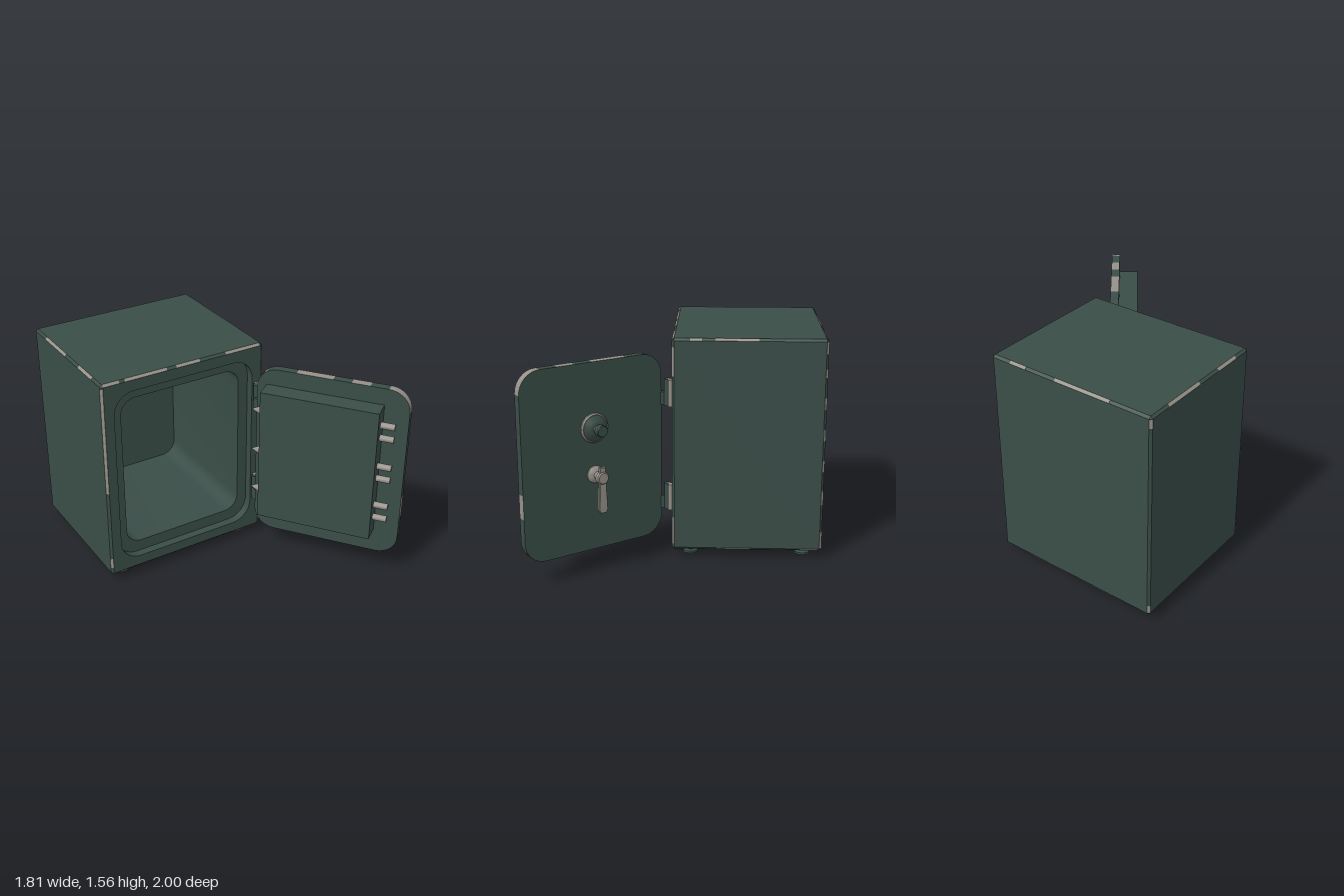
import * as THREE from 'three';
import { toCreasedNormals } from 'three/addons/utils/BufferGeometryUtils.js';

const mat = (name, color) => {
  const m = new THREE.MeshStandardMaterial({ color });
  m.name = name;
  return m;
};

// Rounded rectangle, counter-clockwise from the upper right corner; straight sides get `sub` pieces
function roundedRect(x0, x1, y0, y1, r, sub = 1) {
  const centres = [[x1 - r, y1 - r], [x0 + r, y1 - r], [x0 + r, y0 + r], [x1 - r, y0 + r]];
  const arcs = centres.map(([cx, cy], q) => Array.from({ length: 9 }, (_, i) => {
    const a = (q + i / 8) * Math.PI / 2;
    return new THREE.Vector2(cx + r * Math.cos(a), cy + r * Math.sin(a));
  }));
  return arcs.flatMap((arc, q) => {
    const next = arcs[(q + 1) % 4][0];
    const side = [];
    for (let i = 1; i < sub; i++) side.push(arc[8].clone().lerp(next, i / sub));
    return [...arc, ...side];
  });
}

// Wall between two outlines; faces outward when zB > zA and inward otherwise
function wall(a, zA, b, zB, materialAt) {
  const n = a.length, pos = [], index = [];
  a.forEach((p) => pos.push(p.x, p.y, zA));
  b.forEach((p) => pos.push(p.x, p.y, zB));
  const g = new THREE.BufferGeometry();
  for (let i = 0; i < n; i++) {
    const j = (i + 1) % n;
    index.push(i, j, n + j, i, n + j, n + i);
    if (materialAt) g.addGroup(i * 6, 6, materialAt(i));
  }
  g.setAttribute('position', new THREE.Float32BufferAttribute(pos, 3));
  g.setIndex(index);
  return toCreasedNormals(g, 0.6);
}

// Flat face at z, optionally with a hole, facing +z or (back) -z
function face(outline, z, hole, back) {
  const s = new THREE.Shape(outline);
  if (hole) s.holes.push(new THREE.Path(hole));
  const g = new THREE.ShapeGeometry(s);
  if (back) {
    const ix = g.index.array;
    for (let i = 0; i < ix.length; i += 3) [ix[i], ix[i + 1]] = [ix[i + 1], ix[i]];
    g.computeVertexNormals();
  }
  return g.translate(0, 0, z);
}

export function createModel() {
  const root = new THREE.Group();
  const green = mat('dark green paint', 0x3a4d47);
  const steel = mat('worn steel', 0x969189);

  const add = (parent, name, geo, material, x = 0, y = 0, z = 0) => {
    const m = new THREE.Mesh(geo, material);
    m.name = name;
    m.position.set(x, y, z);
    parent.add(m);
    return m;
  };

  // Body with chamfered edges
  const X0 = -0.905, X1 = 0.33, Y0 = 0.06, Y1 = 1.56, Z0 = -1, Z1 = 0.04, c = 0.016;
  const V = (x, y) => new THREE.Vector2(x, y);
  const side = [V(X1, Y0 + c), V(X1, Y1 - c), V(X1 - c, Y1), V(X0 + c, Y1),
    V(X0, Y1 - c), V(X0, Y0 + c), V(X0 + c, Y0), V(X1 - c, Y0)];
  const inset = side.map((p) => V(
    THREE.MathUtils.clamp(p.x, X0 + c, X1 - c), THREE.MathUtils.clamp(p.y, Y0 + c, Y1 - c)));
  const rect = [V(X0 + c, Y0 + c), V(X1 - c, Y0 + c), V(X1 - c, Y1 - c), V(X0 + c, Y1 - c)];
  const recess = roundedRect(-0.82, 0.245, 0.15, 1.465, 0.15);
  const cavity = roundedRect(-0.745, 0.17, 0.235, 1.38, 0.11);
  const ledgeZ = -0.02, insideZ = -0.965;
  const body = new THREE.Group();
  body.name = 'body';
  root.add(body);
  add(body, 'backChamfer', wall(inset, Z0, side, Z0 + c), green);
  add(body, 'sidePanels', wall(side, Z0 + c, side, Z1 - c), green);
  add(body, 'frontChamfer', wall(side, Z1 - c, inset, Z1), green);
  add(body, 'backPanel', face(rect, Z0, null, true), green);
  add(body, 'frontFrame', face(rect, Z1, recess), green);
  add(body, 'recessWall', wall(recess, Z1, recess, ledgeZ), green);
  add(body, 'recessLedge', face(recess, ledgeZ, cavity), green);
  add(body, 'cavityWall', wall(cavity, ledgeZ, cavity, insideZ), green);
  add(body, 'cavityBack', face(cavity, insideZ), green);

  // Paint worn off the edges: signs pick the edge, each pair is a start and end along it
  const w = c * 1.42, t = 0.003, px = (s) => (s > 0 ? X1 - c / 2 : X0 + c / 2);
  const py = (s) => (s > 0 ? Y1 - c / 2 : Y0 + c / 2), pz = (s) => (s > 0 ? Z1 - c / 2 : Z0 + c / 2);
  const wearX = (sy, sz, spans) => spans.forEach(([a, b]) => {
    add(body, 'wornEdge', new THREE.BoxGeometry(b - a, t, w), steel, (a + b) / 2, py(sy), pz(sz))
      .rotation.x = Math.atan2(sz, sy);
  });
  const wearY = (sx, sz, spans) => spans.forEach(([a, b]) => {
    add(body, 'wornEdge', new THREE.BoxGeometry(t, b - a, w), steel, px(sx), (a + b) / 2, pz(sz))
      .rotation.y = Math.atan2(-sz, sx);
  });
  const wearZ = (sx, sy, spans) => spans.forEach(([a, b]) => {
    add(body, 'wornEdge', new THREE.BoxGeometry(t, w, b - a), steel, px(sx), py(sy), (a + b) / 2)
      .rotation.z = Math.atan2(sy, sx);
  });
  wearX(1, 1, [[-0.89, -0.77], [-0.73, -0.42], [-0.35, -0.17], [0.03, 0.3]]);
  wearX(1, -1, [[-0.6, -0.18], [0.05, 0.18]]);
  wearX(-1, 1, [[-0.89, -0.82], [0.1, 0.3]]);
  wearX(-1, -1, [[-0.6, -0.45], [-0.2, 0.1]]);
  wearY(-1, 1, [[0.74, 1.53], [0.12, 0.2]]);
  wearY(1, 1, [[0.1, 0.3], [1.3, 1.5]]);
  wearY(1, -1, [[0.08, 0.2], [0.4, 0.5], [0.64, 0.72], [0.86, 0.94], [1.08, 1.16], [1.3, 1.36], [1.46, 1.54]]);
  wearY(-1, -1, [[0.08, 0.14], [1.48, 1.54]]);
  wearZ(1, 1, [[-0.54, -0.25], [-0.16, -0.08]]);
  wearZ(-1, 1, [[-0.82, -0.5], [-0.3, -0.1]]);
  wearZ(1, -1, [[-0.97, -0.85], [-0.5, -0.27]]);

  // Feet
  const footProfile = [[0, 0], [0.055, 0], [0.055, 0.015], [0.036, 0.024], [0.032, 0.065]].map((p) => V(...p));
  const footGeo = toCreasedNormals(new THREE.LatheGeometry(footProfile, 20), 0.5);
  for (const x of [-0.77, 0.2]) for (const z of [-0.085, -0.875]) add(root, 'foot', footGeo, green, x, 0, z);

  // Hinges: barrel, body leaf and door leaf
  for (const y of [1.18, 0.437]) {
    add(root, 'hingeBarrel', new THREE.CylinderGeometry(0.024, 0.024, 0.185, 16), green, 0.265, y, 0.072);
    add(root, 'hingeBodyLeaf', new THREE.BoxGeometry(0.05, 0.185, 0.03), steel, 0.288, y, 0.052);
    add(root, 'hingeDoorLeaf', new THREE.BoxGeometry(0.03, 0.09, 0.06), green, 0.252, y - 0.045, 0.102);
  }

  // Open door: local x runs from the hinge to the free edge, local z towards the inside
  const door = new THREE.Group();
  door.name = 'door';
  door.position.set(0.215, 0, 0.15);
  door.rotation.y = -Math.atan2(0.8, 0.6);
  root.add(door);
  const outline = roundedRect(0, 1.06, 0.165, 1.455, 0.15, 6);
  const worn = new Set([0, 1, 2, 3, 4, 5, 6, 7, 9, 11, 12, 17, 25, 30, 37, 45, 51]);
  add(door, 'doorRim', wall(outline, -0.06, outline, 0, (i) => (worn.has(i) ? 1 : 0)), [green, steel]);
  add(door, 'doorOuterFace', face(outline, -0.06, null, true), green);
  add(door, 'doorInnerFace', face(outline, 0), green);
  add(door, 'lockCase', new THREE.BoxGeometry(0.82, 0.99, 0.135), green, 0.478, 0.84, 0.0675);

  // Locking bolts on the free side, pointed pins on the hinge side
  const boltGeo = new THREE.CylinderGeometry(0.023, 0.023, 0.11, 12).rotateZ(-Math.PI / 2);
  for (const y of [1.215, 1.12, 0.9, 0.805, 0.59, 0.49]) add(door, 'bolt', boltGeo, steel, 0.93, y, 0.06);
  const pinGeo = new THREE.ConeGeometry(0.035, 0.08, 16).rotateZ(Math.PI / 2);
  for (const y of [1.167, 0.852, 0.54]) add(door, 'hingeSidePin', pinGeo, steel, 0.028, y, 0.072);

  // Turned fittings on the outer face, heights measured outward from it
  const turned = (name, points, material, x, y, segments = 32) => add(door, name,
    toCreasedNormals(new THREE.LatheGeometry(points.map((p) => V(...p)), segments).rotateX(-Math.PI / 2), 0.5),
    material, x, y, -0.06);
  turned('dialPlate', [[0.1, 0], [0.1, 0.012], [0.092, 0.02], [0.088, 0.02]], steel, 0.53, 1.015);
  turned('dialCone', [[0.09, 0.018], [0.055, 0.045], [0.045, 0.05], [0, 0.05]], green, 0.53, 1.015);
  turned('dialNeck', [[0.028, 0.045], [0.028, 0.075]], steel, 0.53, 1.015);
  turned('dialKnob', [[0, 0.07], [0.036, 0.07], [0.04, 0.076], [0.04, 0.11], [0.035, 0.116], [0, 0.116]],
    green, 0.53, 1.015, 16);
  turned('handleHub', [[0.06, 0], [0.06, 0.01], [0.045, 0.025], [0.025, 0.032], [0.025, 0.08],
    [0.042, 0.08], [0.042, 0.108], [0.035, 0.115], [0, 0.115]], steel, 0.53, 0.695);

  // Tapered lever hanging from the hub
  const lever = new THREE.Shape([V(-0.018, 0.07), V(-0.024, -0.1), V(-0.03, -0.22), V(-0.018, -0.24),
    V(0.018, -0.24), V(0.03, -0.22), V(0.024, -0.1), V(0.018, 0.07)]);
  add(door, 'handleLever', new THREE.ExtrudeGeometry(lever, {
    depth: 0.018, bevelEnabled: true, bevelSize: 0.004, bevelThickness: 0.004, bevelSegments: 1,
  }), steel, 0.53, 0.695, -0.163);

  return root;
}
